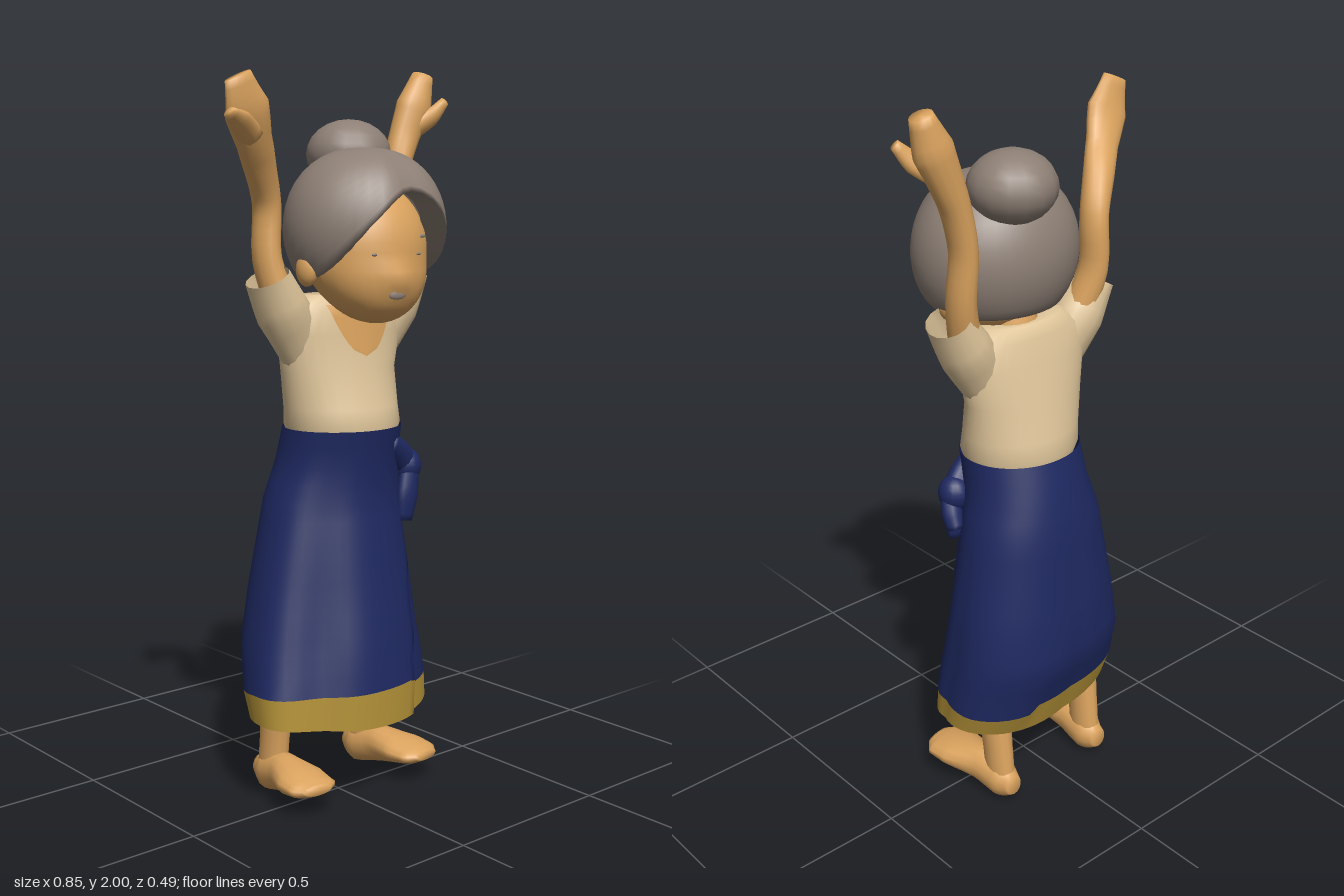
import * as THREE from 'three';

const mat = (name, color, side = THREE.FrontSide) => {
  const m = new THREE.MeshStandardMaterial({ color, side });
  m.name = name;
  return m;
};
const V = (x, y, z) => new THREE.Vector3(x, y, z);
const { clamp, lerp, degToRad } = THREE.MathUtils;

// Smooth skin over rows of points; every row has the same count
function skin(rows, closed = true) {
  const n = rows[0].length, pos = [], idx = [];
  rows.forEach(r => r.forEach(p => pos.push(p.x, p.y, p.z)));
  for (let i = 0; i < rows.length - 1; i++) {
    for (let j = 0; j < (closed ? n : n - 1); j++) {
      const k = (j + 1) % n, a = i * n + j, b = i * n + k;
      idx.push(a, b, b + n, a, b + n, a + n);
    }
  }
  const g = new THREE.BufferGeometry();
  g.setAttribute('position', new THREE.Float32BufferAttribute(pos, 3));
  g.setIndex(idx);
  g.computeVertexNormals();
  return g;
}

// Horizontal ellipse [y, cx, cz, rx, rz], with an optional radius rule
const ring = ([y, cx, cz, rx, rz], n = 48, rule = () => 1) =>
  Array.from({ length: n }, (_, j) => {
    const t = (j / n) * Math.PI * 2, k = rule(t, y);
    return V(cx + rx * k * Math.sin(t), y, cz + rz * k * Math.cos(t));
  });

// Interpolated ellipse at height y from a list sorted upward
function at(rings, y) {
  let i = 0;
  while (i < rings.length - 2 && y > rings[i + 1][0]) i++;
  const a = rings[i], b = rings[i + 1], t = (y - a[0]) / (b[0] - a[0]);
  return a.map((v, k) => v + (b[k] - v) * t);
}

// Organic limb through stations [x, y, z, width, depth]
function limb(st, capped = true, n = 14, steps = 4) {
  const curve = new THREE.CatmullRomCurve3(st.map(s => V(s[0], s[1], s[2])));
  const rows = [], total = (st.length - 1) * steps;
  for (let i = 0; i <= total; i++) {
    const u = i / total, f = u * (st.length - 1), k = Math.min(Math.floor(f), st.length - 2);
    const w = lerp(st[k][3], st[k + 1][3], f - k), d = lerp(st[k][4], st[k + 1][4], f - k);
    const c = curve.getPoint(u), t = curve.getTangent(u);
    const e2 = V(1, 0, 0).addScaledVector(t, -t.x).normalize();
    const e1 = e2.clone().cross(t);
    rows.push(Array.from({ length: n }, (_, j) => {
      const a = (j / n) * Math.PI * 2;
      return c.clone().addScaledVector(e1, d * Math.cos(a)).addScaledVector(e2, w * Math.sin(a));
    }));
  }
  if (capped) {
    rows.unshift(rows[0].map(() => curve.getPoint(0)));
    rows.push(rows[0].map(() => curve.getPoint(1)));
  }
  return skin(rows);
}

export function createModel() {
  const group = new THREE.Group();
  const skinM = mat('skin', 0xdca45f), hairM = mat('greyHair', 0x8d7f75, THREE.DoubleSide);
  const blouseM = mat('creamBlouse', 0xe0c69b, THREE.DoubleSide);
  const blueM = mat('navyCloth', 0x1e2961, THREE.DoubleSide);
  const goldM = mat('goldHem', 0xb69439, THREE.DoubleSide);
  const add = (name, geo, m) => {
    const mesh = new THREE.Mesh(geo, m);
    mesh.name = name;
    group.add(mesh);
    return mesh;
  };
  const ball = (name, m, p, r, w = 16, h = 12) => {
    const b = add(name, new THREE.SphereGeometry(1, w, h), m);
    b.position.set(...p);
    b.scale.set(...r);
  };

  // Wrapped skirt: overlapping front panel, fuller back left, flatter front right
  const skirt = [
    [0.245, 0, 0.008, 0.288, 0.18], [0.34, 0, -0.006, 0.293, 0.197], [0.45, 0.005, -0.033, 0.278, 0.21],
    [0.6, 0.015, -0.045, 0.255, 0.195], [0.85, 0.025, -0.053, 0.207, 0.165],
    [0.95, 0.03, -0.04, 0.178, 0.157], [1.045, 0.03, -0.018, 0.172, 0.152]];
  const fold = (t, y) => {
    const start = 0.56 + (y - 0.34) * 0.44, s = (t - start) / 0.8;
    const depth = 0.09 * Math.min(1, (1.08 - y) / 0.4);
    const wrap = s > 0 && s < 1 ? 1 - depth * (1 - s) : 1;
    const low = Math.min(1, (1.1 - y) * 1.6);
    const full = Math.max(0, -Math.sin(2 * t)) * (t < Math.PI ? 0.16 : 0.04);
    const flat = 0.14 * Math.exp(-(((t - 5.58) / 0.32) ** 2));
    return wrap * (1 + (full - flat) * low + 0.012 * Math.sin(5 * t + 1) * (1.04 - y));
  };
  const hemLine = p => V(p.x, p.y - 0.025 * clamp((p.x - 0.13) / 0.03, 0, 1) - 0.012 * clamp(-p.z / 0.1, 0, 1), p.z);
  const hemTop = ring(skirt[1], 64, fold).map(hemLine);
  const heights = Array.from({ length: 14 }, (_, i) => 0.395 + i * 0.05);
  add('skirt', skin([hemTop, ...heights.map(y => ring(at(skirt, y), 64, fold))]), blueM);
  const dip = p => V(p.x, p.y - 0.018 * Math.cos((p.x - 0.08) * 5) + 0.009, p.z);
  const hemLow = ring(skirt[0], 64, fold).map(dip);
  const hemMid = hemLow.map((p, i) => p.clone().lerp(hemTop[i], 0.55));
  add('skirtHem', skin([hemLow, hemMid, hemTop]), goldM);
  add('hemUnderside', skin([hemLow.map(() => V(0, 0.29, -0.01)), hemLow]), goldM);

  // Waist knot with two hanging tails
  ball('waistKnot', blueM, [0.2, 0.92, 0.055], [0.045, 0.05, 0.045]);
  add('waistSash', limb([[0.1, 1.0, 0.08, 0.035, 0.03], [0.16, 0.96, 0.065, 0.04, 0.033], [0.2, 0.92, 0.055, 0.04, 0.035]]), blueM);
  add('knotTail', limb([[0.2, 0.92, 0.07, 0.03, 0.025], [0.185, 0.84, 0.08, 0.036, 0.022], [0.175, 0.77, 0.08, 0.026, 0.015]]), blueM);
  add('knotTail', limb([[0.21, 0.92, 0.06, 0.03, 0.025], [0.222, 0.87, 0.04, 0.03, 0.028], [0.228, 0.83, 0.02, 0.022, 0.025]]), blueM);

  // Blouse body and sleeves
  const torso = [
    [1.0, 0.03, -0.018, 0.15, 0.13], [1.05, 0.03, -0.018, 0.17, 0.145], [1.1, 0.027, -0.02, 0.172, 0.133],
    [1.2, 0.022, -0.025, 0.183, 0.108], [1.3, 0.022, -0.02, 0.205, 0.092],
    [1.37, 0.022, -0.015, 0.2, 0.08], [1.405, 0.025, -0.015, 0.13, 0.065]];
  add('blouse', skin([...torso, [1.4, 0.03, -0.01, 0.06, 0.03]].map(r => ring(r, 32))), blouseM);
  for (const [name, base, mid, end] of [['rightSleeve', -0.08, -0.172, -0.225], ['leftSleeve', 0.12, 0.213, 0.268]]) {
    add(name, limb([
      [base, 1.22, -0.02, 0.07, 0.04], [mid, 1.36, -0.02, 0.074, 0.074], [end, 1.455, -0.02, 0.056, 0.07]], false), blouseM);
  }

  // Bare skin in the scooped neckline, following the chest
  const scoop = [];
  for (let i = 0; i <= 8; i++) {
    const v = i / 8, y = 1.24 + 0.14 * v, [, cx, cz, rx, rz] = at(torso, y);
    scoop.push(Array.from({ length: 11 }, (_, j) => {
      const x = 0.03 + (j / 5 - 1) * 0.115 * Math.sqrt(v);
      return V(x, y, cz + rz * Math.sqrt(1 - ((x - cx) / rx) ** 2) + 0.005);
    }));
  }
  add('neckline', skin(scoop, false), skinM);
  add('neck', limb([[0.03, 1.3, -0.02, 0.085, 0.06], [0.035, 1.39, 0, 0.068, 0.06], [0.04, 1.48, 0.03, 0.065, 0.06]]), skinM);

  // Head with forward chin and small nose
  const bulge = (x, y) => 0.3 * Math.max(0, 1.5 - y) + 0.016 * Math.exp(-((x - 0.012) ** 2 + (y - 1.455) ** 2) / 0.0012);
  const head = new THREE.SphereGeometry(1, 32, 24).scale(0.172, 0.19, 0.162).translate(0.037, 1.52, 0.062);
  const p = head.attributes.position;
  for (let i = 0; i < p.count; i++) p.setZ(i, p.getZ(i) + bulge(p.getX(i), p.getY(i)));
  head.computeVertexNormals();
  add('head', head, skinM);
  ball('rightEar', skinM, [-0.145, 1.475, 0.045], [0.025, 0.045, 0.035]);
  ball('leftEar', skinM, [0.222, 1.475, 0.035], [0.025, 0.045, 0.035]);

  // Squinting eyes, thin brows and mouth laid on the face
  for (const [name, x, y, w, h] of [
    ['eye', -0.05, 1.515, 0.009, 0.004], ['eye', 0.09, 1.515, 0.009, 0.004],
    ['eyebrow', 0.115, 1.56, 0.014, 0.005], ['mouth', 0.012, 1.41, 0.03, 0.011]]) {
    const z = 0.062 + 0.162 * Math.sqrt(1 - ((x - 0.037) / 0.172) ** 2 - ((y - 1.52) / 0.19) ** 2);
    ball(name, hairM, [x, y, z + bulge(x, y)], [w, h, 0.0045], 10, 6);
  }

  // Hair cap: rounded arch over the brow, low at the nape, tucked under at the edge
  const hairRows = [];
  for (let i = -1; i <= 14; i++) {
    hairRows.push(Array.from({ length: 40 }, (_, j) => {
      const t = (j / 40) * Math.PI * 2, a = Math.min(t, Math.PI * 2 - t);
      const edge = 63 + 67 * (1 - Math.exp(-1.3 * a ** 2.1));
      const phi = degToRad(edge) * (1 - Math.max(i, 0) / 14);
      const lobe = 1 + 0.09 * Math.exp(-(((a - 0.45) / 0.32) ** 2));
      const s = Math.pow(Math.max(Math.sin(phi), 0), 0.85) * (i < 0 ? 0.7 : 1);
      return V(0.05 + 0.23 * s * Math.sin(t), 1.58 + 0.21 * Math.cos(phi), 0.05 + 0.2 * s * lobe * Math.cos(t));
    }));
  }
  add('hair', skin(hairRows), hairM);
  ball('hairBun', hairM, [0.09, 1.775, -0.062], [0.117, 0.093, 0.115]);

  // Raised arms, broad flat hands and thumbs
  add('rightArm', limb([
    [-0.16, 1.36, -0.03, 0.045, 0.045], [-0.198, 1.5, -0.055, 0.036, 0.045], [-0.198, 1.64, -0.055, 0.036, 0.042],
    [-0.24, 1.73, -0.025, 0.044, 0.038], [-0.29, 1.8, 0.015, 0.05, 0.03],
    [-0.335, 1.875, 0.045, 0.066, 0.026], [-0.37, 1.955, 0.055, 0.04, 0.015]]), skinM);
  add('rightThumb', limb([[-0.31, 1.81, 0.03, 0.035, 0.022], [-0.37, 1.845, 0.06, 0.032, 0.018], [-0.415, 1.865, 0.08, 0.016, 0.01]]), skinM);
  add('leftArm', limb([
    [0.21, 1.36, -0.02, 0.045, 0.045], [0.245, 1.5, -0.045, 0.036, 0.045], [0.247, 1.64, -0.06, 0.034, 0.043],
    [0.272, 1.75, -0.065, 0.038, 0.042], [0.305, 1.83, -0.07, 0.046, 0.04],
    [0.34, 1.91, -0.07, 0.055, 0.044], [0.372, 1.995, -0.07, 0.03, 0.03]]), skinM);
  add('leftThumb', limb([[0.32, 1.84, -0.06, 0.03, 0.022], [0.372, 1.88, -0.035, 0.028, 0.02], [0.412, 1.925, -0.02, 0.014, 0.012]]), skinM);

  // Bare legs and turned-out feet, soles rising toward the toes
  for (const [side, x, s] of [['right', -0.145, -1], ['left', 0.19, 1]]) {
    add(side + 'Leg', limb([[x, 0.06, -0.115, 0.036, 0.05], [x, 0.16, -0.105, 0.038, 0.048], [x, 0.28, -0.09, 0.045, 0.048]]), skinM);
    add(side + 'Foot', limb([
      [x, 0.06, -0.175, 0.025, 0.03], [x, 0.058, -0.13, 0.046, 0.056], [x + s * 0.008, 0.075, -0.05, 0.05, 0.054],
      [x + s * 0.022, 0.08, 0.04, 0.076, 0.038], [x + s * 0.03, 0.08, 0.1, 0.072, 0.025],
      [x + s * 0.035, 0.083, 0.13, 0.04, 0.013]]), skinM);
  }
  return group;
}
